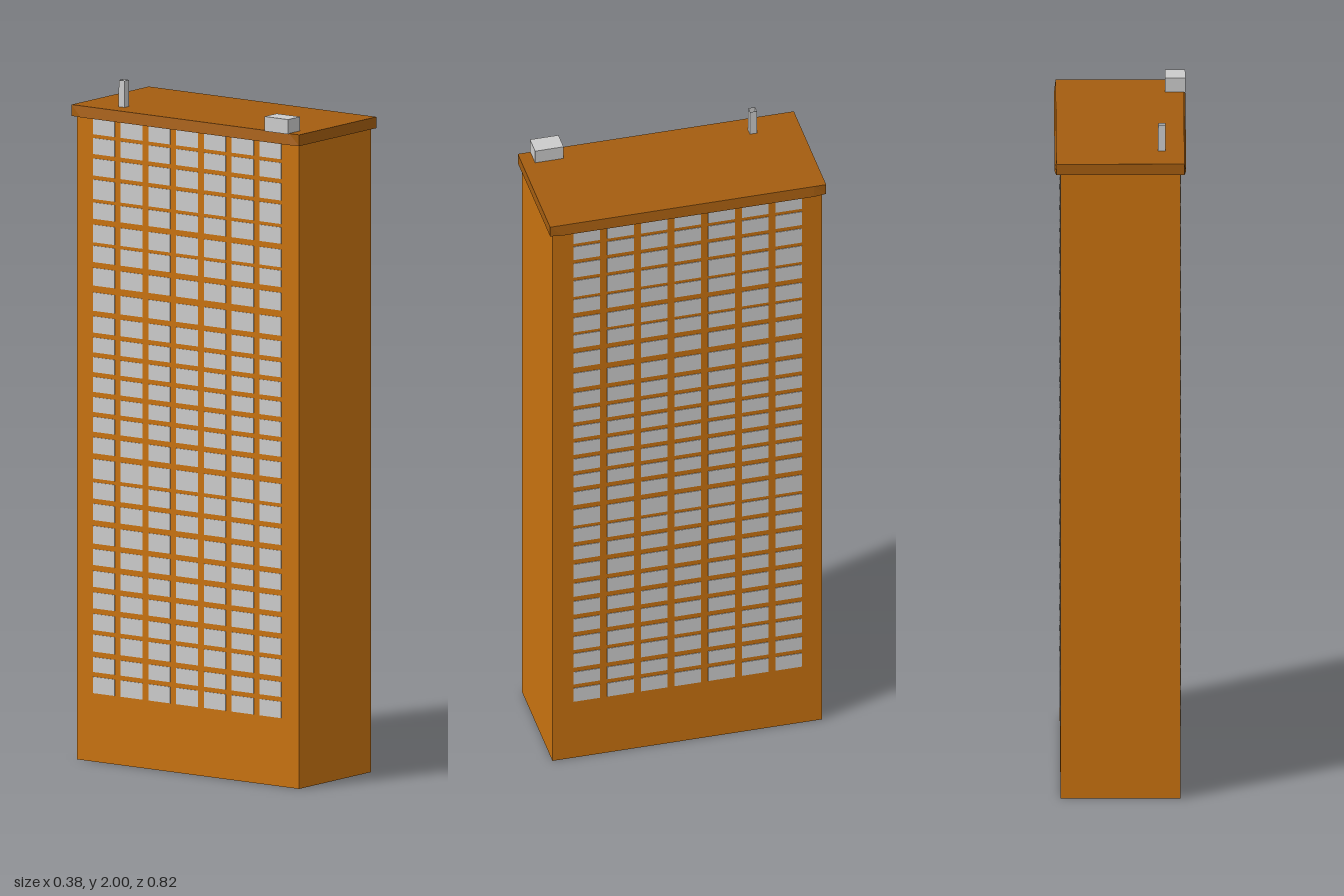
import * as THREE from 'three';

const wallMat = new THREE.MeshStandardMaterial({ color: 0xc8720f });
const roofMat = new THREE.MeshStandardMaterial({ color: 0xa45d10 });
const greyMat = new THREE.MeshStandardMaterial({ color: 0xcccccc });
const thinMat = new THREE.MeshStandardMaterial({ color: 0xcccccc, side: THREE.DoubleSide });

function add(parent, name, geometry, material, x, y, z) {
  const mesh = new THREE.Mesh(geometry, material);
  mesh.name = name;
  mesh.position.set(x, y, z);
  parent.add(mesh);
  return mesh;
}

// Roof slab: side edges flare out slightly at the bottom
function roofGeometry(height) {
  const outline = [[0.185, -0.412], [0.19, -0.375], [0.19, 0.375], [0.185, 0.412],
    [-0.185, 0.412], [-0.19, 0.375], [-0.19, -0.375], [-0.185, -0.412]];
  const shape = new THREE.Shape(outline.map(([x, y]) => new THREE.Vector2(x, y)));
  const geo = new THREE.ExtrudeGeometry(shape, { depth: height, bevelEnabled: false });
  geo.rotateX(-Math.PI / 2);
  const p = geo.attributes.position;
  for (let i = 0; i < p.count; i++) {
    if (p.getY(i) > height / 2) p.setX(i, THREE.MathUtils.clamp(p.getX(i), -0.185, 0.185));
  }
  geo.computeVertexNormals();
  return geo;
}

export function createModel() {
  const model = new THREE.Group();
  model.name = 'towerBlock';

  add(model, 'walls', new THREE.BoxGeometry(0.346, 1.895, 0.804), wallMat, 0, 0.9475, 0);
  add(model, 'roof', roofGeometry(0.033), roofMat, 0, 1.889, 0);

  // Window rows, slightly uneven: bottom edge and height of each
  const rows = [[0.201, 0.048], [0.263, 0.044], [0.323, 0.05], [0.386, 0.048], [0.45, 0.047],
    [0.513, 0.047], [0.577, 0.047], [0.64, 0.052], [0.709, 0.048], [0.772, 0.048],
    [0.831, 0.057], [0.905, 0.047], [0.968, 0.044], [1.026, 0.044], [1.085, 0.044],
    [1.143, 0.044], [1.201, 0.044], [1.259, 0.048], [1.323, 0.054], [1.397, 0.052],
    [1.466, 0.048], [1.524, 0.052], [1.593, 0.048], [1.651, 0.057], [1.72, 0.05],
    [1.783, 0.047], [1.841, 0.045]];
  for (const side of [1, -1]) {
    const windows = new THREE.Group();
    windows.name = side > 0 ? 'leftWindows' : 'rightWindows';
    for (const [y, h] of rows) {
      const pane = new THREE.BoxGeometry(0.004, h, 0.079);
      for (let c = -3; c <= 3; c++) {
        add(windows, 'window', pane, greyMat, side * 0.1725, y + h / 2, c * 0.1005 - 0.002);
      }
    }
    model.add(windows);
  }

  // Rooftop unit and open square chimney
  add(model, 'rooftopUnit', new THREE.BoxGeometry(0.059, 0.043, 0.085), greyMat, -0.16, 1.942, 0.332);
  const pipe = new THREE.CylinderGeometry(0.0145, 0.0155, 0.08, 4, 1, true).toNonIndexed();
  pipe.rotateY(Math.PI / 4);
  pipe.computeVertexNormals();
  add(model, 'chimney', pipe, thinMat, -0.12, 1.96, -0.272);
  add(model, 'chimneyFloor', new THREE.BoxGeometry(0.019, 0.004, 0.019), wallMat, -0.12, 1.922, -0.272);

  return model;
}
